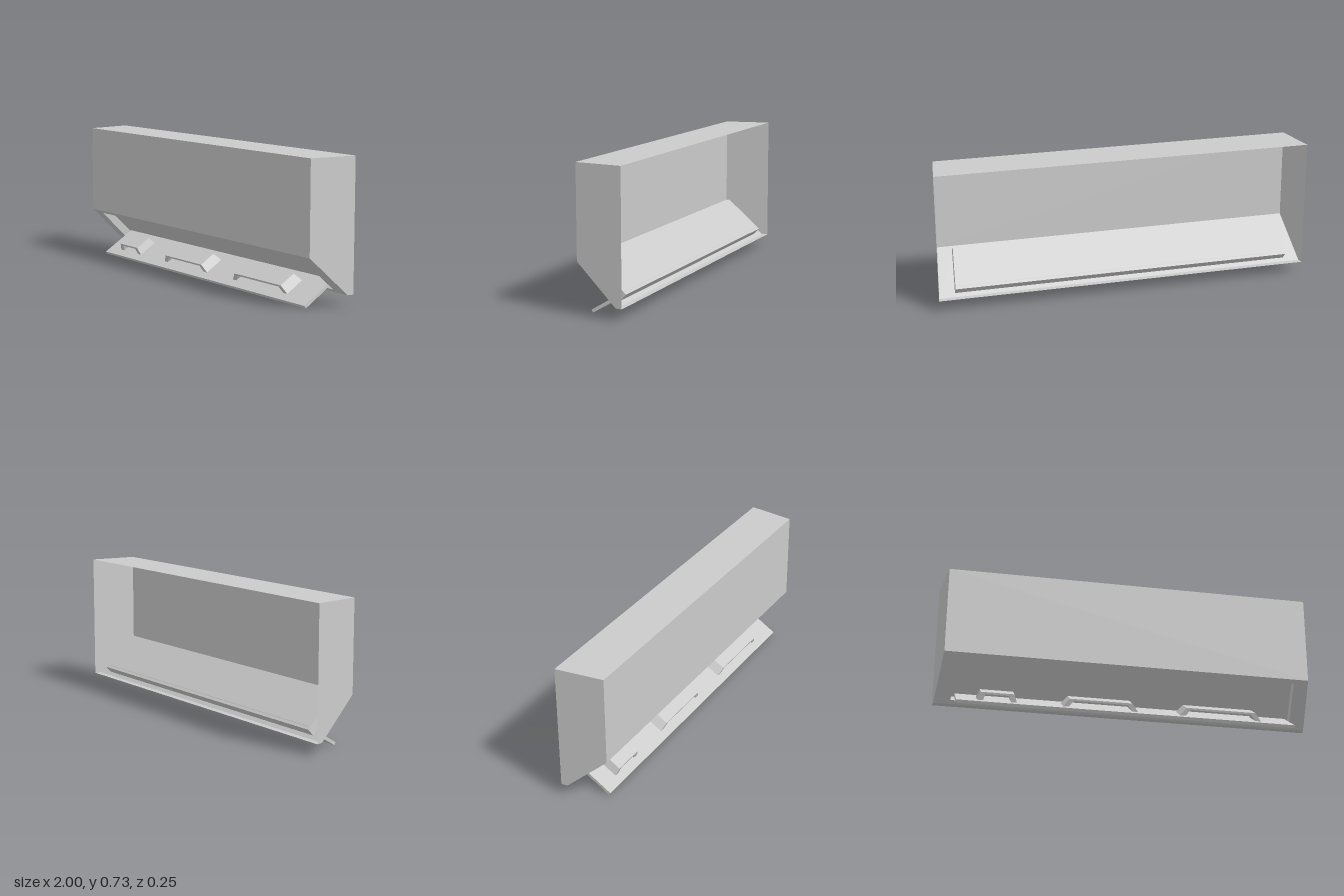
import * as THREE from 'three';

const material = new THREE.MeshStandardMaterial({ color: 0xcccccc, flatShading: true, side: THREE.DoubleSide });

// Builds a flat-shaded mesh from planar convex polygons (corners counter-clockwise)
function polygonMesh(name, polygons) {
  const pos = [];
  for (const p of polygons)
    for (let i = 1; i < p.length - 1; i++) pos.push(...p[0], ...p[i], ...p[i + 1]);
  const g = new THREE.BufferGeometry();
  g.setAttribute('position', new THREE.Float32BufferAttribute(pos, 3));
  g.computeVertexNormals();
  const mesh = new THREE.Mesh(g, material);
  mesh.name = name;
  return mesh;
}

// Quads joining two matching loops of four corners
const bridge = (a, b) => a.map((p, i) => [p, a[(i + 1) % 4], b[(i + 1) % 4], b[i]]);

// Rectangle on the sloped face: [half width, y, z] of its bottom and top edges
const slopedRect = ([wb, yb, zb], [wt, yt, zt]) =>
  [[-wb, yb, zb], [wb, yb, zb], [wt, yt, zt], [-wt, yt, zt]];

function createHousing() {
  const group = new THREE.Group();
  group.name = 'housing';
  const width = z => 0.9825 - 0.14 * z; // narrows towards the front

  // Side outline as [z, y], from back top round to back bottom; the back is open
  const profile = [[-0.125, 0.735], [0.125, 0.735], [0.125, 0.262], [-0.092, 0.062], [-0.125, 0.062]];
  const side = s => profile.map(([z, y]) => [s * width(z), y, z]);
  const left = side(1), right = side(-1);
  const panel = i => [right[i], right[i + 1], left[i + 1], left[i]];
  group.add(
    polygonMesh('leftSide', [left.slice().reverse()]),
    polygonMesh('rightSide', [right]),
    polygonMesh('topPanel', [panel(0)]),
    polygonMesh('frontPanel', [panel(1)]),
    polygonMesh('bottomLip', [panel(3)])
  );

  // Sloped underside with a shallow rectangular recess
  const outer = [right[3], left[3], left[2], right[2]];
  const opening = slopedRect([0.91, 0.078, -0.0746], [0.89, 0.246, 0.1076]);
  const floor = opening.map(([x, y, z]) => [x, y + 0.032, z - 0.029]);
  group.add(
    polygonMesh('slopedFrame', bridge(outer, opening)),
    polygonMesh('recess', [...bridge(opening, floor), floor])
  );
  return group;
}

// Hollow bracket with flared legs, lying on the shelf
function createBracket(x0, x1, flare) {
  const h = 0.041, back = -0.1485, front = -0.052, wall = 0.03;
  const shape = new THREE.Shape([
    [x0, 0], [x0 + wall, 0], [x0 + wall + flare * 0.7, h - 0.01],
    [x1 - wall - flare * 0.7, h - 0.01], [x1 - wall, 0], [x1, 0],
    [x1 - flare, h], [x0 + flare, h]
  ].map(p => new THREE.Vector2(...p)));
  const g = new THREE.ExtrudeGeometry(shape, { depth: front - back, bevelEnabled: false });
  g.translate(0, 0, back);
  // Splay the front and back faces outwards at the base
  const p = g.attributes.position, mid = (front + back) / 2;
  for (let i = 0; i < p.count; i++)
    p.setZ(i, p.getZ(i) + Math.sign(p.getZ(i) - mid) * 0.007 * (1 - p.getY(i) / h));
  g.computeVertexNormals();
  const mesh = new THREE.Mesh(g, material);
  mesh.name = 'bracket';
  return mesh;
}

function createShelf() {
  const group = new THREE.Group();
  group.name = 'tiltedShelf';
  const plate = new THREE.Mesh(new THREE.BoxGeometry(1.78, 0.016, 0.21), material);
  plate.name = 'shelfPlate';
  plate.position.set(0, -0.008, -0.105);
  group.add(plate);
  for (const b of [[-0.782, -0.578, 0.016], [-0.34, 0.053, 0.032], [0.278, 0.715, 0.032]])
    group.add(createBracket(...b));
  // Origin is the upper front edge
  group.position.set(0, 0.0145, 0.089);
  group.rotation.x = 0.546;
  return group;
}

export function createModel() {
  const model = new THREE.Group();
  model.name = 'wallUnit';
  model.add(createHousing(), createShelf());
  return model;
}
